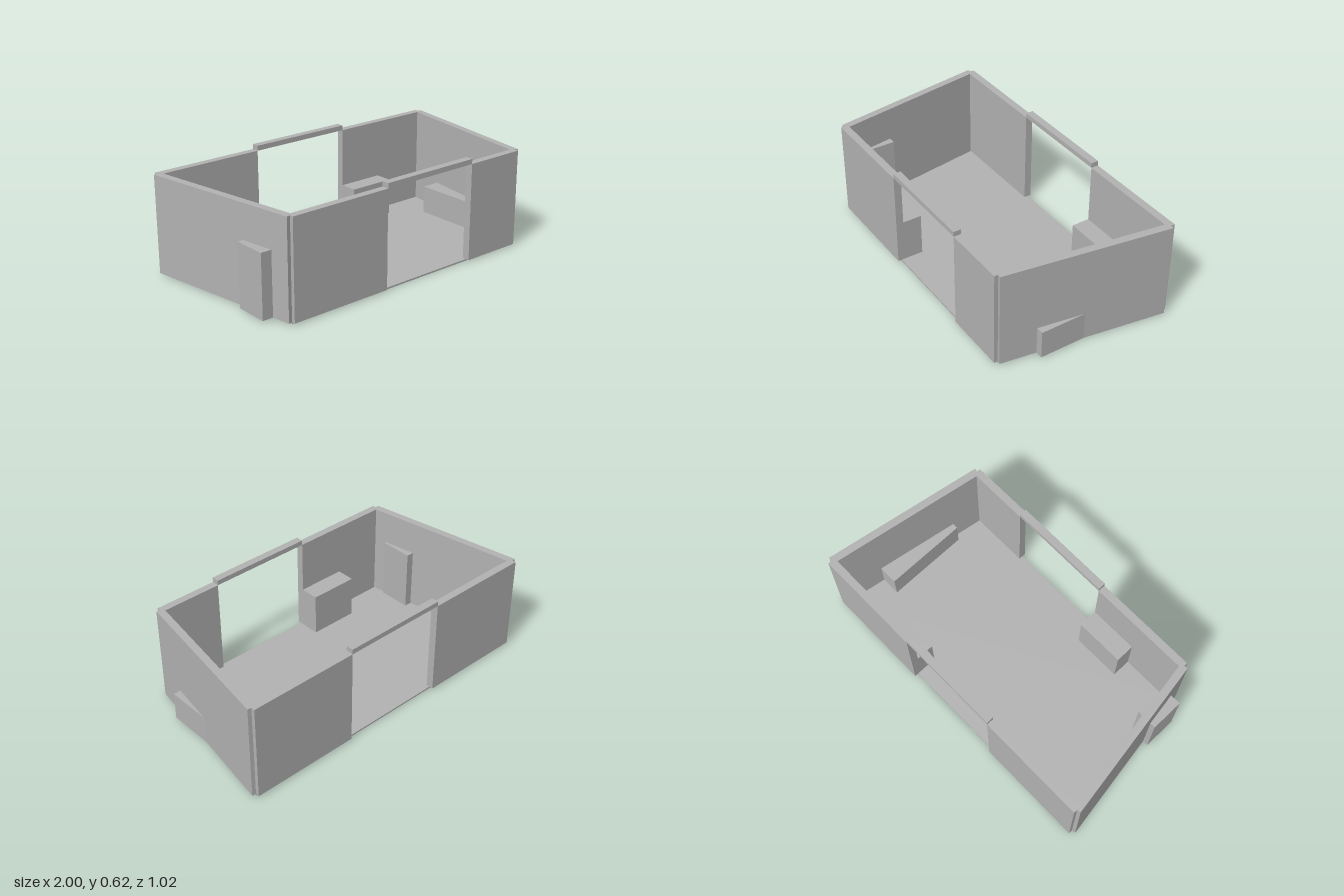
import * as THREE from 'three';

export function createModel() {
  const model = new THREE.Group();
  model.name = 'openRoom';
  const plaster = new THREE.MeshStandardMaterial({ color: 0xb2b2b2 });
  plaster.name = 'greyPlaster';

  const floorY = 0.01, wallTop = 0.59, lintelTop = 0.62;
  const thickness = 0.045, endZ = 0.487;
  const frontX = 0.82, backX = 0.976;

  // Box given by its limits on each axis
  function block(name, x0, x1, y0, y1, z0, z1) {
    const mesh = new THREE.Mesh(new THREE.BoxGeometry(x1 - x0, y1 - y0, z1 - z0), plaster);
    mesh.position.set((x0 + x1) / 2, (y0 + y1) / 2, (z0 + z1) / 2);
    mesh.name = name;
    model.add(mesh);
  }

  // Trapezoid floor slab, drawn in plan and laid flat
  const plan = new THREE.Shape([
    new THREE.Vector2(-frontX, -endZ), new THREE.Vector2(frontX, -endZ),
    new THREE.Vector2(backX, endZ), new THREE.Vector2(-backX, endZ),
  ]);
  const slab = new THREE.ExtrudeGeometry(plan, { depth: floorY, bevelEnabled: false });
  slab.rotateX(-Math.PI / 2);
  const floor = new THREE.Mesh(slab, plaster);
  floor.name = 'floor';
  model.add(floor);

  // Front and back walls, each with a doorway and a lintel above it
  const ends = [
    { side: 'front', z: endZ, half: frontX, door: [-0.19, 0.44] },
    { side: 'back', z: -endZ, half: backX, door: [-0.32, 0.32] },
  ];
  for (const { side, z, half, door } of ends) {
    const z0 = z - thickness / 2, z1 = z + thickness / 2;
    block(side + 'WallRight', -half, door[0], floorY, wallTop, z0, z1);
    block(side + 'WallLeft', door[1], half, floorY, wallTop, z0, z1);
    block(side + 'Lintel', door[0], door[1], wallTop, lintelTop, z0, z1);
  }

  // Slanted side walls
  const sideLength = Math.hypot(backX - frontX, 2 * endZ);
  for (const s of [-1, 1]) {
    const wall = new THREE.Mesh(
      new THREE.BoxGeometry(thickness, wallTop - floorY, sideLength), plaster);
    wall.position.set(s * (frontX + backX) / 2, (floorY + wallTop) / 2, 0);
    wall.rotation.y = -s * Math.atan2(backX - frontX, 2 * endZ);
    wall.name = s > 0 ? 'leftWall' : 'rightWall';
    model.add(wall);
  }

  // Furniture blocks; the two side ones poke through the slanted walls
  block('leftBench', 0.795, 0.92, floorY, 0.18, -0.23, 0.28);
  block('rightCabinet', -0.925, -0.80, floorY, 0.385, 0.18, 0.38);
  block('frontCabinet', -0.49, -0.19, floorY, 0.27, 0.35, 0.465);
  block('backCabinet', 0.32, 0.61, floorY, 0.235, -0.465, -0.355);

  return model;
}
